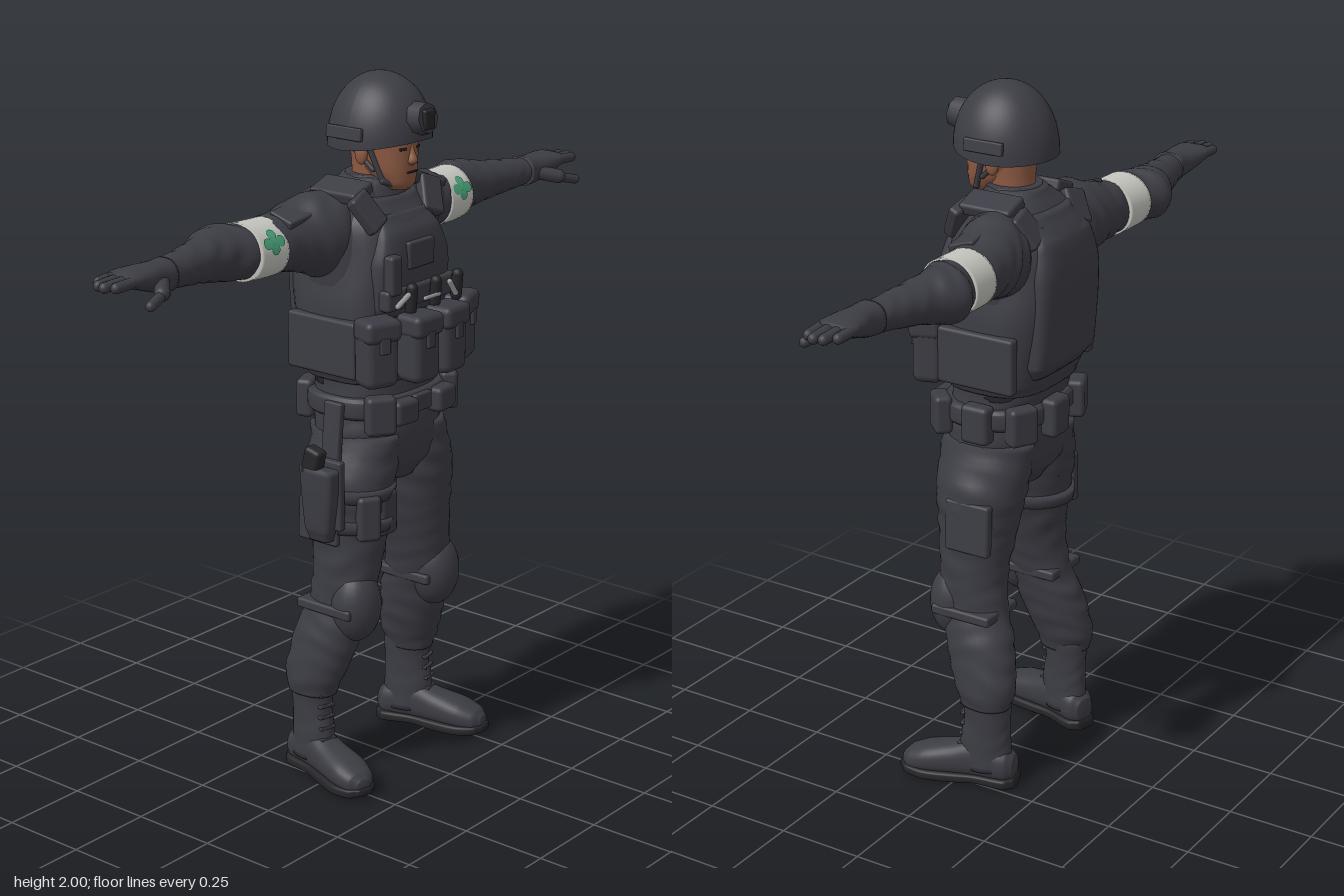
import * as THREE from 'three';
import { RoundedBoxGeometry } from 'three/addons/geometries/RoundedBoxGeometry.js';

const mat = (name, color, side = THREE.FrontSide) => {
  const m = new THREE.MeshStandardMaterial({ color, side });
  m.name = name;
  return m;
};

export function createModel() {
  const cloth = mat('charcoal cloth', 0x3c3c44, THREE.DoubleSide);
  const black = mat('black rubber', 0x26262a);
  const skin = mat('skin', 0x8c5a42);
  const white = mat('band white', 0xc6c6c0);
  const green = mat('band green', 0x4aa57c, THREE.DoubleSide);
  const metal = mat('grey metal', 0x94949a);

  const model = new THREE.Group();
  const body = new THREE.Group(); // built facing +z, then turned to face +x
  body.name = 'figure';
  body.rotation.y = Math.PI / 2;
  model.add(body);

  const add = (name, geo, m = cloth, parent = body) => {
    const mesh = new THREE.Mesh(geo, m);
    mesh.name = name;
    parent.add(mesh);
    return mesh;
  };

  // Smooth skin through sections [t, a, b, ra, rb] along an axis; n = squareness, s = mirror, w = wrinkles
  function loft(axis, secs, { n = 2, s = 1, w = 0, seg = 32, sub = 5 } = {}) {
    const pos = [], idx = [];
    const put = (t, a, b) => {
      const p = axis === 'x' ? [t, a, b] : axis === 'y' ? [a, t, b] : [a, b, t];
      pos.push(p[0] * s, p[1], p[2]);
    };
    const at = (i, k) => secs[Math.min(Math.max(i, 0), secs.length - 1)][k];
    const rows = (secs.length - 1) * sub;
    const cr = (i, u, k) => {
      const p0 = at(i - 1, k), p1 = at(i, k), p2 = at(i + 1, k), p3 = at(i + 2, k);
      return p1 + 0.5 * u * (p2 - p0 + u * (2 * p0 - 5 * p1 + 4 * p2 - p3 + u * (3 * (p1 - p2) + p3 - p0)));
    };
    for (let r = 0; r <= rows; r++) {
      const i = Math.min(Math.floor(r / sub), secs.length - 2), u = r / sub - i;
      const t = at(i, 0) + (at(i + 1, 0) - at(i, 0)) * u;
      const [a, b, ra, rb] = [1, 2, 3, 4].map(k => cr(i, u, k));
      for (let j = 0; j < seg; j++) {
        const th = (j / seg) * Math.PI * 2, c = Math.cos(th), d = Math.sin(th);
        const f = 1 + w * Math.sin(t * 95 + 2.5 * Math.sin(th * 2 + t * 12)) * (0.6 + 0.4 * Math.sin(th * 3 + t * 30));
        put(t, a + ra * f * Math.sign(c) * Math.abs(c) ** (2 / n), b + rb * f * Math.sign(d) * Math.abs(d) ** (2 / n));
      }
    }
    const quad = (r, j) => {
      const k = (j + 1) % seg, A = r * seg + j, B = r * seg + k, C = A + seg, D = B + seg;
      idx.push(A, C, B, B, C, D);
    };
    for (let r = 0; r < rows; r++) for (let j = 0; j < seg; j++) quad(r, j);
    for (const [e, row] of [[0, 0], [secs.length - 1, rows]]) {
      const centre = pos.length / 3;
      put(at(e, 0), at(e, 1), at(e, 2));
      for (let j = 0; j < seg; j++) {
        const A = row * seg + j, B = row * seg + (j + 1) % seg;
        if (e) idx.push(A, centre, B); else idx.push(A, B, centre);
      }
    }
    // Turn faces outward whatever the axis or mirroring
    let vol = 0;
    const v = i => new THREE.Vector3().fromArray(pos, i * 3);
    for (let i = 0; i < idx.length; i += 3) vol += v(idx[i]).dot(v(idx[i + 1]).cross(v(idx[i + 2])));
    if (vol < 0) for (let i = 0; i < idx.length; i += 3) [idx[i], idx[i + 1]] = [idx[i + 1], idx[i]];
    const g = new THREE.BufferGeometry();
    g.setAttribute('position', new THREE.Float32BufferAttribute(pos, 3));
    g.setIndex(idx);
    g.computeVertexNormals();
    return g;
  }
  const box = (name, x, y, z, w, h, d, m = cloth, rot = [0, 0, 0], parent = body) => {
    const b = add(name, new RoundedBoxGeometry(w, h, d, 3, Math.min(w, h, d) * 0.28), m, parent);
    b.position.set(x, y, z);
    b.rotation.set(...rot);
    return b;
  };
  const ball = (name, x, y, z, rx, ry, rz, m = cloth) => {
    const b = add(name, new THREE.SphereGeometry(1, 24, 16), m);
    b.position.set(x, y, z);
    b.scale.set(rx, ry, rz);
    return b;
  };
  const rod = (name, p, q, r, m = cloth) => {
    const a = new THREE.Vector3(...p), d = new THREE.Vector3(...q).sub(a);
    const c = add(name, new THREE.CapsuleGeometry(r, d.length(), 5, 12), m);
    c.position.copy(a).addScaledVector(d, 0.5);
    c.quaternion.setFromUnitVectors(new THREE.Vector3(0, 1, 0), d.normalize());
  };

  // Hips, shirt and vest
  add('hips', loft('y', [[0.87, 0, -0.01, 0.07, 0.1], [0.93, 0, -0.015, 0.17, 0.135], [1.02, 0, -0.015, 0.195, 0.145], [1.1, 0, -0.02, 0.185, 0.14], [1.2, 0, -0.03, 0.18, 0.14]], { n: 2.4, w: 0.01 }));
  add('shirt', loft('y', [[1.15, 0, -0.03, 0.18, 0.13], [1.4, 0, -0.05, 0.19, 0.15], [1.58, 0, -0.06, 0.2, 0.135], [1.66, 0, -0.06, 0.16, 0.1], [1.72, 0, -0.04, 0.075, 0.075]], { n: 2.5 }));
  add('vest', loft('y', [[1.17, 0, -0.03, 0.185, 0.145], [1.2, 0, -0.03, 0.198, 0.155], [1.38, 0, -0.047, 0.2, 0.173], [1.5, 0, -0.052, 0.182, 0.18], [1.6, 0, -0.055, 0.168, 0.16], [1.67, 0, -0.055, 0.13, 0.11]], { n: 3 }));
  add('backPlate', loft('y', [[1.22, 0, -0.16, 0.13, 0.03], [1.26, 0, -0.17, 0.15, 0.05], [1.5, 0, -0.18, 0.15, 0.053], [1.6, 0, -0.165, 0.13, 0.05], [1.64, 0, -0.15, 0.1, 0.03]], { n: 4 }));
  add('chestPlate', loft('y', [[1.36, 0, 0.08, 0.15, 0.05], [1.5, 0, 0.085, 0.15, 0.05], [1.58, 0, 0.07, 0.125, 0.05], [1.63, 0, 0.05, 0.1, 0.035]], { n: 4 }));
  add('collar', loft('y', [[1.64, 0, -0.04, 0.115, 0.1], [1.7, 0, -0.035, 0.088, 0.085], [1.725, 0, -0.033, 0.075, 0.075]]));
  box('chestPatch', 0, 1.52, 0.13, 0.11, 0.075, 0.022);
  box('chestShelf', 0, 1.41, 0.125, 0.3, 0.06, 0.04);

  // Magazine pouches with flaps, and the gear above them
  for (const [x, z, r] of [[-0.178, 0.125, -0.35], [-0.06, 0.175, -0.06], [0.06, 0.175, 0.06], [0.178, 0.125, 0.35]]) {
    const p = new THREE.Group();
    p.name = 'magazinePouch';
    p.position.set(x, 1.275, z);
    p.rotation.y = r;
    body.add(p);
    box('pouchBody', 0, 0, 0, 0.103, 0.185, 0.085, cloth, [0, 0, 0], p);
    box('pouchFlap', 0, 0.068, 0.006, 0.11, 0.062, 0.09, cloth, [0, 0, 0], p);
    box('pouchTab', 0, 0.03, 0.046, 0.03, 0.045, 0.012, cloth, [0, 0, 0], p);
  }
  rod('metalClip', [-0.13, 1.4, 0.16], [-0.09, 1.425, 0.165], 0.008, metal);
  rod('metalClip', [0.09, 1.425, 0.165], [0.11, 1.39, 0.17], 0.008, metal);
  rod('metalPin', [-0.03, 1.405, 0.175], [0.03, 1.405, 0.175], 0.006, metal);
  for (const x of [-0.075, 0.03, 0.125]) rod('smallTool', [x, 1.38, 0.16], [x, 1.44, 0.165], 0.016, black);
  box('radio', -0.12, 1.48, 0.135, 0.045, 0.11, 0.035);

  // Belt
  add('belt', loft('y', [[1.07, 0, -0.02, 0.195, 0.15], [1.08, 0, -0.02, 0.203, 0.158], [1.12, 0, -0.02, 0.203, 0.158], [1.13, 0, -0.02, 0.195, 0.15]], { n: 2.6 }));
  box('buckle', 0, 1.1, 0.14, 0.07, 0.05, 0.02);
  for (const [x, z, r] of [[0.175, 0.095, 0.8], [0.2, -0.04, 1.57], [0.15, -0.15, -0.5], [0.03, -0.185, 0], [-0.13, -0.16, 0.4], [-0.15, 0.115, -0.6], [-0.08, 0.14, -0.1], [0.09, 0.14, 0.1]])
    box('beltPouch', x, 1.09, z, 0.085, Math.abs(z) > 0.13 && z > 0 ? 0.07 : 0.11, 0.05, cloth, [0, r, 0]);

  // Head
  add('neck', loft('y', [[1.64, 0, -0.03, 0.062, 0.065], [1.74, 0, -0.025, 0.06, 0.066], [1.84, 0, -0.02, 0.068, 0.085]]), skin);
  add('head', loft('y', [[1.688, 0, 0.062, 0.028, 0.026], [1.705, 0, 0.05, 0.047, 0.05], [1.74, 0, 0.03, 0.064, 0.073], [1.79, 0, 0.01, 0.073, 0.094], [1.84, 0, 0, 0.077, 0.103], [1.9, 0, 0, 0.07, 0.09]], { n: 2.3 }), skin);
  add('nose', loft('y', [[1.757, 0, 0.098, 0.011, 0.008], [1.768, 0, 0.101, 0.016, 0.019], [1.79, 0, 0.1, 0.01, 0.013], [1.815, 0, 0.097, 0.007, 0.007]]), skin);
  box('mouth', 0, 1.738, 0.102, 0.038, 0.005, 0.007, black);
  for (const s of [-1, 1]) {
    const side = s > 0 ? 'left' : 'right';
    box(side + 'Eye', s * 0.031, 1.803, 0.097, 0.022, 0.007, 0.008, black, [0, s * 0.25, 0]);
    box(side + 'Brow', s * 0.033, 1.82, 0.098, 0.034, 0.007, 0.009, black, [0, s * 0.25, 0]);
    ball(side + 'Ear', s * 0.077, 1.785, -0.01, 0.012, 0.03, 0.02, skin);
    rod(side + 'ChinStrap', [s * 0.083, 1.83, 0.01], [s * 0.06, 1.715, 0.05], 0.008);
    rod(side + 'NapeStrap', [s * 0.083, 1.82, -0.06], [s * 0.07, 1.745, 0.025], 0.007);
    rod(side + 'ChinCup', [s * 0.06, 1.715, 0.05], [0, 1.693, 0.082], 0.009);
    box(side + 'HelmetRail', s * 0.135, 1.85, -0.02, 0.015, 0.035, 0.12, cloth, [0, 0, s * 0.12]);
  }

  // Helmet shell with a rim that dips over the ears
  const shell = new THREE.SphereGeometry(1, 48, 20, 0, Math.PI * 2, 0, Math.PI / 2);
  const sp = shell.attributes.position;
  for (let i = 0; i < sp.count; i++) {
    const x = sp.getX(i), y = sp.getY(i), z = sp.getZ(i), a = Math.atan2(x, z);
    const rim = 1.815 + 0.012 * Math.cos(a) - 0.012 * Math.sin(a) ** 2;
    sp.setXYZ(i, x * 0.14, rim + (2 - rim) * Math.pow(y, 0.92), z * 0.145 - 0.008);
  }
  shell.computeVertexNormals();
  add('helmet', shell);
  const mount = add('helmetMount', new THREE.CylinderGeometry(0.042, 0.047, 0.04, 8));
  mount.position.set(0, 1.888, 0.138);
  mount.rotation.x = Math.PI / 2 - 0.15;
  box('mountBlock', 0, 1.888, 0.155, 0.045, 0.055, 0.024, black);

  for (const s of [-1, 1]) {
    const side = s > 0 ? 'left' : 'right';
    // Shoulder strap pads
    box(side + 'ShoulderStrap', s * 0.125, 1.69, -0.04, 0.085, 0.035, 0.16, cloth, [0, 0, -s * 0.35]);
    box(side + 'StrapFront', s * 0.135, 1.645, 0.058, 0.075, 0.11, 0.035, cloth, [-0.5, 0, -s * 0.4]);
    box(side + 'StrapBack', s * 0.125, 1.64, -0.15, 0.08, 0.1, 0.035, cloth, [0.55, 0, -s * 0.3]);
    box(side + 'Cummerbund', s * 0.2, 1.275, -0.04, 0.035, 0.16, 0.24);

    // Arm and armband
    add(side + 'Arm', loft('x', [[0.1, 1.56, -0.07, 0.13, 0.1], [0.2, 1.575, -0.085, 0.115, 0.105], [0.28, 1.575, -0.105, 0.09, 0.09], [0.36, 1.57, -0.112, 0.077, 0.081], [0.46, 1.572, -0.12, 0.075, 0.08], [0.52, 1.575, -0.143, 0.075, 0.085], [0.6, 1.577, -0.122, 0.059, 0.064], [0.7, 1.578, -0.103, 0.047, 0.052], [0.8, 1.58, -0.088, 0.038, 0.042]], { s, w: 0.035, sub: 8 }));
    box(side + 'SleevePatch', s * 0.29, 1.645, -0.075, 0.09, 0.022, 0.08, cloth, [0.3, 0, -s * 0.15]);
    add(side + 'Armband', loft('x', [[0.35, 1.568, -0.114, 0.08, 0.085], [0.4, 1.568, -0.115, 0.081, 0.086], [0.455, 1.57, -0.118, 0.08, 0.086]], { s }), white);
    [[0, 0.022], [0.024, 0], [-0.024, 0], [0, -0.018], [0, 0]].forEach(([u, v]) => {
      const leaf = new THREE.CircleGeometry(0.016, 14), lp = leaf.attributes.position;
      for (let i = 0; i < lp.count; i++) { // lay the leaf on the curved band
        const th = (lp.getY(i) + v) / 0.083 + 0.4;
        lp.setXYZ(i, s * 0.405 + lp.getX(i) + u, 1.568 + 0.0835 * Math.sin(th), -0.115 + 0.0885 * Math.cos(th));
      }
      leaf.computeVertexNormals();
      add(side + 'BandLeaf', leaf, green);
    });

    // Gloved hand
    add(side + 'Glove', loft('x', [[0.76, 1.58, -0.09, 0.044, 0.048], [0.8, 1.581, -0.088, 0.041, 0.045], [0.85, 1.588, -0.09, 0.033, 0.053], [0.9, 1.595, -0.092, 0.024, 0.056], [0.925, 1.597, -0.092, 0.016, 0.05]], { s, n: 2.4 }));
    [[-0.135, 0.955], [-0.107, 0.98], [-0.078, 0.986], [-0.05, 0.97]].forEach(([z, tip]) =>
      rod(side + 'Finger', [s * 0.89, 1.597, z], [s * tip, 1.592, z * 0.9 - 0.01], 0.0145));
    rod(side + 'ThumbBase', [s * 0.8, 1.575, -0.065], [s * 0.85, 1.56, -0.015], 0.021);
    rod(side + 'Thumb', [s * 0.85, 1.558, -0.013], [s * 0.91, 1.543, 0.003], 0.014);

    // Trouser leg and knee pad
    add(side + 'Leg', loft('y', [[1.02, 0.1, -0.015, 0.095, 0.14], [0.88, 0.127, -0.008, 0.116, 0.133], [0.75, 0.138, -0.002, 0.104, 0.114], [0.62, 0.157, 0, 0.087, 0.1], [0.52, 0.17, -0.012, 0.075, 0.1], [0.45, 0.187, -0.035, 0.077, 0.104], [0.38, 0.2, -0.053, 0.075, 0.102], [0.3, 0.215, -0.072, 0.068, 0.092], [0.25, 0.219, -0.076, 0.057, 0.076]], { s, w: 0.025, sub: 8 }));
    ball(side + 'KneePad', s * 0.178, 0.53, 0.05, 0.074, 0.108, 0.072);
    box(side + 'KneeStrap', s * 0.175, 0.52, -0.01, 0.157, 0.03, 0.19);
    box(side + 'CargoPocket', s * 0.232, 0.79, -0.03, 0.03, 0.15, 0.14, cloth, [0, 0, s * 0.05]);

    // Boot
    const boot = new THREE.Group();
    boot.name = side + 'Boot';
    boot.position.set(s * 0.216, 0, -0.08);
    boot.rotation.y = s * 0.25;
    body.add(boot);
    add('bootShaft', loft('y', [[0.05, 0, 0, 0.052, 0.075], [0.13, 0, 0.005, 0.05, 0.075], [0.2, 0, 0, 0.05, 0.068], [0.285, 0, 0, 0.056, 0.072]], { w: 0.02 }), cloth, boot);
    add('bootFoot', loft('z', [[-0.083, 0, 0.06, 0.03, 0.035], [-0.06, 0, 0.065, 0.048, 0.05], [0.03, 0, 0.075, 0.048, 0.06], [0.1, 0, 0.065, 0.053, 0.05], [0.18, 0, 0.055, 0.058, 0.042], [0.23, 0, 0.045, 0.045, 0.032], [0.25, 0, 0.04, 0.022, 0.018]], { n: 2.4 }), cloth, boot);
    add('bootSole', loft('z', [[-0.088, 0, 0.017, 0.032, 0.016], [-0.06, 0, 0.017, 0.052, 0.017], [0.03, 0, 0.019, 0.048, 0.015], [0.1, 0, 0.017, 0.057, 0.017], [0.18, 0, 0.017, 0.063, 0.017], [0.235, 0, 0.02, 0.048, 0.015], [0.257, 0, 0.024, 0.022, 0.01]], { n: 4 }), black, boot);
    for (let i = 0; i < 5; i++) box('bootLace', 0, 0.12 + i * 0.033, 0.075 - Math.min(i, 2) * 0.004, 0.05, 0.009, 0.014, cloth, [0, 0, 0], boot);
  }

  // Drop-leg holster with pistol, straps and thigh pouches on the right
  box('holsterHanger', -0.215, 1.02, 0.0, 0.022, 0.2, 0.06, cloth, [0, 0, -0.1]);
  box('holsterPlate', -0.25, 0.87, 0.0, 0.025, 0.2, 0.13);
  add('holster', loft('y', [[0.735, -0.262, -0.002, 0.018, 0.035], [0.77, -0.268, 0, 0.025, 0.045], [0.88, -0.275, 0.005, 0.028, 0.055], [0.95, -0.28, 0.005, 0.026, 0.058]], { n: 4 }));
  box('pistolGrip', -0.284, 0.965, -0.01, 0.042, 0.085, 0.055, black, [0.25, 0, 0]);
  for (const y of [0.77, 0.86]) add('thighStrap', loft('y', [[y - 0.018, -0.135, -0.004, 0.115, 0.13], [y + 0.018, -0.132, -0.004, 0.119, 0.133]], { sub: 2 }));
  for (const x of [-0.185, -0.115]) box('thighPouch', x, 0.8, 0.1, 0.068, 0.13, 0.05, cloth, [0, x < -0.15 ? -0.55 : -0.05, 0]);

  return model;
}
